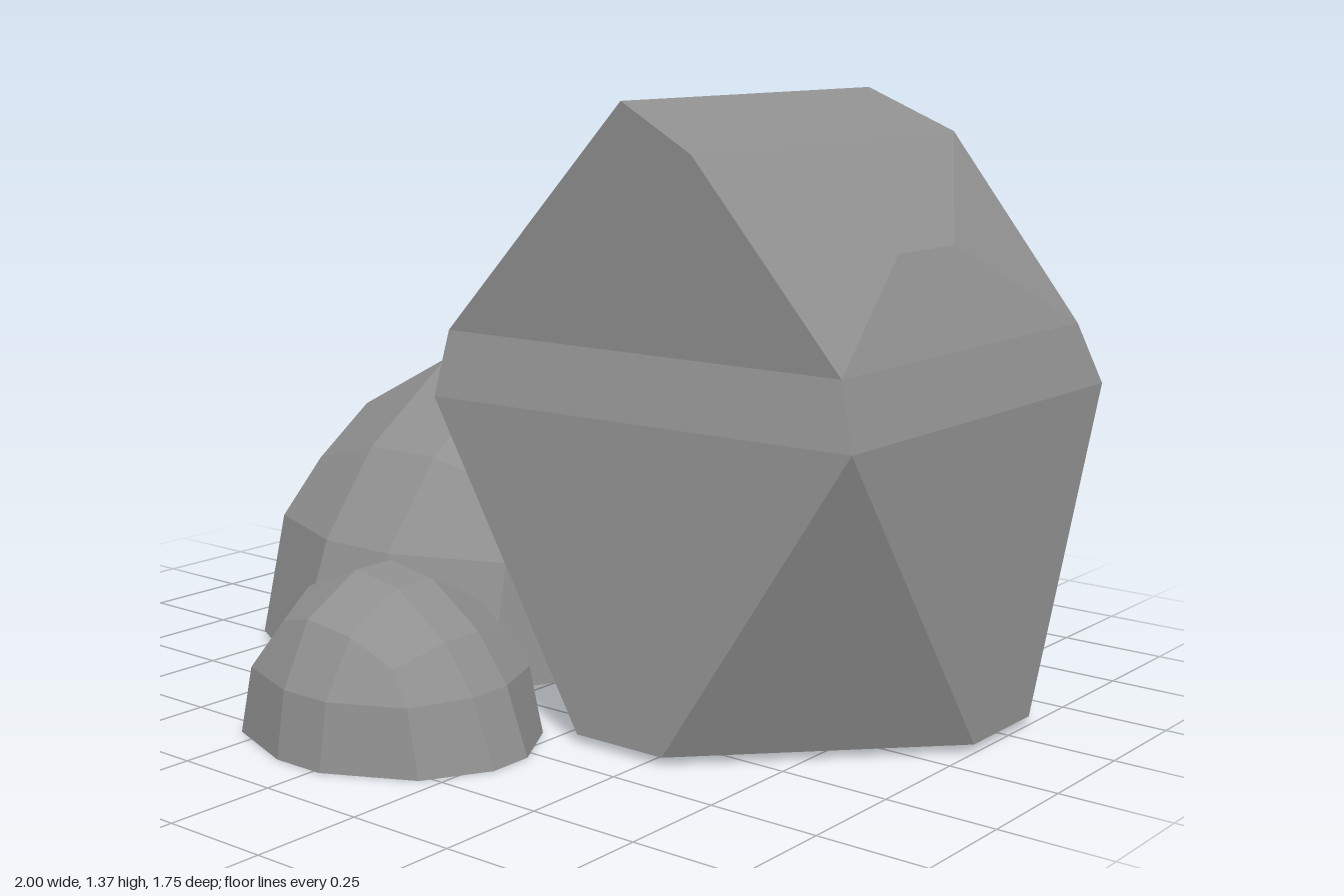
import * as THREE from 'three';

// Double-sided because the stones are open underneath
const material = new THREE.MeshStandardMaterial({ color: 0x909090, side: THREE.DoubleSide });

// Mesh of polygons (arrays of Vector3), each shaded with one averaged normal
function createFacetedMesh(name, polygons) {
  const positions = [], normals = [];
  const edge1 = new THREE.Vector3(), edge2 = new THREE.Vector3();
  for (const poly of polygons) {
    const normal = new THREE.Vector3();
    for (let k = 1; k < poly.length - 1; k++) {
      edge1.subVectors(poly[k], poly[0]);
      edge2.subVectors(poly[k + 1], poly[0]);
      normal.add(edge1.cross(edge2));
    }
    normal.normalize();
    for (let k = 1; k < poly.length - 1; k++) {
      for (const v of [poly[0], poly[k], poly[k + 1]]) {
        positions.push(v.x, v.y, v.z);
        normals.push(normal.x, normal.y, normal.z);
      }
    }
  }
  const geometry = new THREE.BufferGeometry();
  geometry.setAttribute('position', new THREE.Float32BufferAttribute(positions, 3));
  geometry.setAttribute('normal', new THREE.Float32BufferAttribute(normals, 3));
  const mesh = new THREE.Mesh(geometry, material);
  mesh.name = name;
  return mesh;
}

// Unit dome point from a 3 x 2 x 3 box point; levels are base, belt and top
function domePoint(x, y, z) {
  const level = Math.round(y) + 1;
  const outerX = Math.abs(x) > 1, outerZ = Math.abs(z) > 1;
  const front = z > 0;
  let nx = 0.18, nz = 0.19, top = 0.965;
  if (outerX && outerZ) {
    nx = (front ? [0.665, 0.65, 0.6] : [0.757, 0.7, 0.553])[level];
    nz = (front ? [0.763, 0.66, 0.504] : [0.763, 0.71, 0.534])[level];
    top = 0.635;
  } else if (outerX) {
    nx = [1, 0.92, 0.67][level];
    top = 0.755;
  } else if (outerZ) {
    nz = (front ? [1, 0.83, 0.59] : [1, 0.94, 0.635])[level];
    top = 0.75;
  }
  nx *= Math.sign(x);
  nz *= Math.sign(z);
  // The crown leans lower toward +z
  return new THREE.Vector3(nx, [0, 0.4, top * (1 - 0.15 * nz)][level], nz);
}

// Rounded low-poly stone without an underside
function createDome(name, halfX, height, halfZ) {
  const box = new THREE.BoxGeometry(3, 2, 3, 3, 2, 3);
  const p = box.attributes.position, index = box.index;
  const size = new THREE.Vector3(halfX, height, halfZ);
  const quads = [];
  for (let q = 0; q < index.count; q += 6) {
    const quad = [0, 1, 4, 2].map((k) => {
      const i = index.getX(q + k);
      return domePoint(p.getX(i), p.getY(i), p.getZ(i)).multiply(size);
    });
    if (quad.some((v) => v.y > 0)) quads.push(quad);
  }
  return createFacetedMesh(name, quads);
}

// Tall faceted boulder: a ring of horizontal edges [x, y, half depth], closed by two mirrored sides
function createBoulder() {
  const ring = [
    [-0.06, 1.26, 0.11], [0.32, 1.37, 0.48], [0.535, 1.27, 0.52], [0.78, 1.05, 0.115],
    [0.89, 0.845, 0.495], [0.94, 0.705, 0.53], [1.0, 0.02, 0.12], [0.54, 0.02, 0.61],
    [0.31, 0.02, 0.61], [-0.15, 0.02, 0.12], [-0.15, 0.70, 0.56], [-0.15, 0.845, 0.51],
  ];
  const front = ring.map(([x, y, d]) => new THREE.Vector3(x, y, d));
  const back = ring.map(([x, y, d]) => new THREE.Vector3(x, y, -d));
  const polygons = [];
  // Facets spanning front to back, leaving the underside open
  for (let i = 0; i < ring.length; i++) {
    const j = (i + 1) % ring.length;
    if (ring[i][1] + ring[j][1] > 0.1) polygons.push([front[i], front[j], back[j], back[i]]);
  }
  // Side facets, counter-clockwise as seen from +z
  const sides = [
    [1, 0, 11], [2, 4, 3], [5, 7, 6], [10, 9, 8],
    [11, 4, 2, 1], [11, 10, 5, 4], [10, 8, 7, 5],
  ];
  for (const side of sides) {
    polygons.push(side.map((i) => front[i]), side.map((i) => back[i]).reverse());
  }
  const mesh = createFacetedMesh('tallBoulder', polygons);
  mesh.position.z = -0.22;
  return mesh;
}

export function createModel() {
  const group = new THREE.Group();
  group.name = 'rockCluster';

  const large = createDome('largeRoundRock', 0.575, 0.72, 0.655);
  large.position.set(-0.425, 0.015, -0.22);

  // The small stone has the same form, turned a quarter
  const small = createDome('smallRoundRock', 0.293, 0.367, 0.335);
  small.position.set(-0.047, 0, 0.58);
  small.rotation.y = Math.PI / 2;

  group.add(createBoulder(), large, small);
  return group;
}
